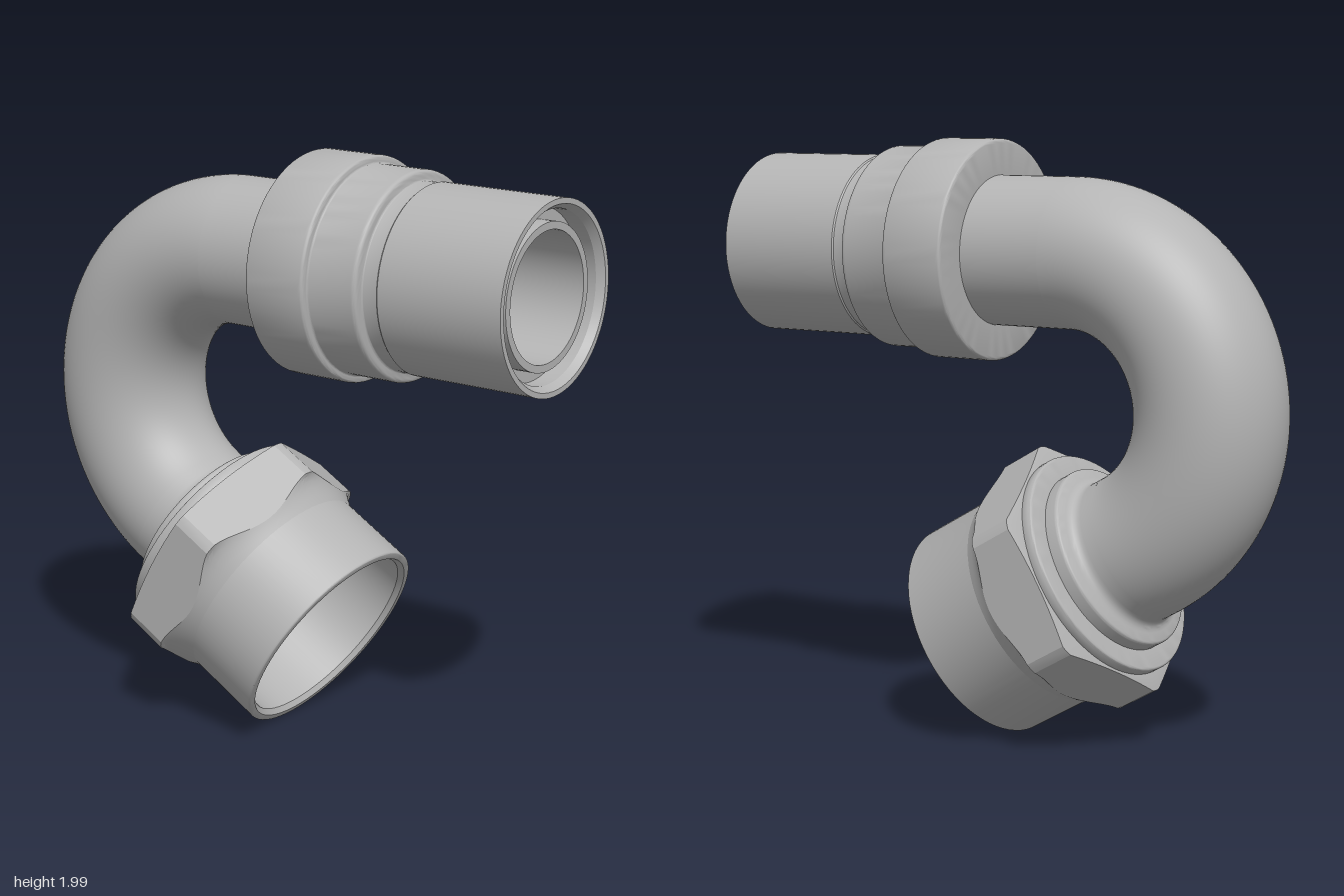
import * as THREE from 'three';
import { toCreasedNormals } from 'three/addons/utils/BufferGeometryUtils.js';

const SEG = 72;
const TUBE_R = 0.25, BORE_R = 0.21, BEND_R = 0.505;

// Lathe from [along, radius, rounding] points; rounded corners become short curves
function turned(points, material, name) {
  const out = [];
  points.forEach(([t, r, round], i) => {
    const p = new THREE.Vector2(r, t);
    if (!round) { out.push(p); return; }
    const toward = ([a, b]) => {
      const d = new THREE.Vector2(b, a).sub(p);
      return p.clone().addScaledVector(d, Math.min(round / d.length(), 0.5));
    };
    const curve = new THREE.QuadraticBezierCurve(toward(points[i - 1]), p, toward(points[i + 1]));
    out.push(...curve.getPoints(5));
  });
  const mesh = new THREE.Mesh(toCreasedNormals(new THREE.LatheGeometry(out, SEG), 0.55), material);
  mesh.name = name;
  return mesh;
}

// Hexagon whose corners are cut by a cone behind and a concave fillet in front
function hexGeometry(apothem, maxR) {
  const rows = 9, pos = [], idx = [];
  for (let i = 0; i <= SEG * 2; i++) {
    const a = (i / (SEG * 2)) * Math.PI * 2;
    const sector = Math.PI / 3;
    const fromFlat = (a % sector) - sector / 2;
    const h = Math.min(apothem / Math.cos(fromFlat), maxR);
    const column = [[0.173, 0.36], [0.173, 0.385], [0.173 + 0.25 * (h - 0.385), h]];
    for (let k = 0; k <= rows - 4; k++) {
      const r = THREE.MathUtils.lerp(h, 0.374, k / (rows - 4));
      const u = (maxR - r) / (maxR - 0.374);
      column.push([0.342 + 0.088 * u * u, r]);
    }
    column.forEach(([t, r]) => pos.push(r * Math.cos(a), t, r * Math.sin(a)));
  }
  for (let i = 0; i < SEG * 2; i++) {
    for (let k = 0; k < rows - 1; k++) {
      const a = i * rows + k, b = a + rows;
      idx.push(a, a + 1, b, b, a + 1, b + 1);
    }
  }
  const geo = new THREE.BufferGeometry();
  geo.setAttribute('position', new THREE.Float32BufferAttribute(pos, 3));
  geo.setIndex(idx);
  return toCreasedNormals(geo, 0.4);
}

export function createModel() {
  const model = new THREE.Group();
  model.name = 'pipeFitting';
  const metal = new THREE.MeshStandardMaterial({ color: 0xb4b4b4, side: THREE.DoubleSide });
  metal.name = 'grey metal';
  const bright = new THREE.MeshStandardMaterial({ color: 0xe6e6e6 });
  bright.name = 'bright metal';

  // Bent tube: outer wall and bore, sweeping 150 degrees
  const bend = new THREE.Group();
  bend.name = 'bentTube';
  for (const [name, r] of [['tubeWall', TUBE_R], ['tubeBore', BORE_R]]) {
    const mesh = new THREE.Mesh(new THREE.TorusGeometry(BEND_R, r, SEG, 80, Math.PI * 5 / 6), metal);
    mesh.name = name;
    bend.add(mesh);
  }
  bend.rotation.z = Math.PI / 2;
  bend.position.set(-0.23, 1.125, 0);
  model.add(bend);

  // Straight tube with stepped collar and hollow spigot
  const spigot = turned([
    [-0.23, TUBE_R], [0.062, TUBE_R], [0.062, 0.37, 0.015], [0.29, 0.37, 0.018],
    [0.29, 0.342, 0.008], [0.475, 0.342, 0.018], [0.475, 0.306, 0.008], [0.53, 0.306],
    [0.535, 0.31], [0.985, 0.31], [0.985, 0.292], [0.96, 0.275], [0.9, 0.275],
    [0.9, 0.235], [0.955, 0.235], [0.955, BORE_R], [-0.23, BORE_R],
  ], metal, 'collarAndSpigot');
  spigot.rotation.z = -Math.PI / 2;
  spigot.position.y = 1.63;
  model.add(spigot);

  // Angled union nut, local y runs along its axis from the end of the bend
  const union = new THREE.Group();
  union.name = 'unionNut';
  union.rotation.z = -Math.PI * 2 / 3;
  union.position.set(-0.4825, 0.688, 0);
  union.add(turned([
    [0, TUBE_R], [0.075, TUBE_R, 0.03], [0.088, 0.316, 0.012], [0.137, 0.316],
    [0.137, 0.387, 0.012], [0.173, 0.387], [0.2, 0.375], [0.707, 0.375, 0.008],
    [0.707, 0.35], [0.69, 0.336], [0.38, 0.336], [0.38, 0.3], [0.3, 0.29],
    [0.21, BORE_R], [0, BORE_R],
  ], metal, 'socket'));
  const hex = new THREE.Mesh(hexGeometry(0.395, 0.447), metal);
  hex.name = 'hexagon';
  union.add(hex);

  // Small locking hole on one flat
  const hole = new THREE.Mesh(new THREE.CylinderGeometry(0.026, 0.026, 0.006, 24), bright);
  hole.name = 'lockingHole';
  const normal = new THREE.Vector3(Math.sqrt(3) / 2, 0, 0.5);
  hole.quaternion.setFromUnitVectors(new THREE.Vector3(0, 1, 0), normal);
  hole.position.set(0.27, 0.25, 0.322);
  union.add(hole);
  model.add(union);

  return model;
}
